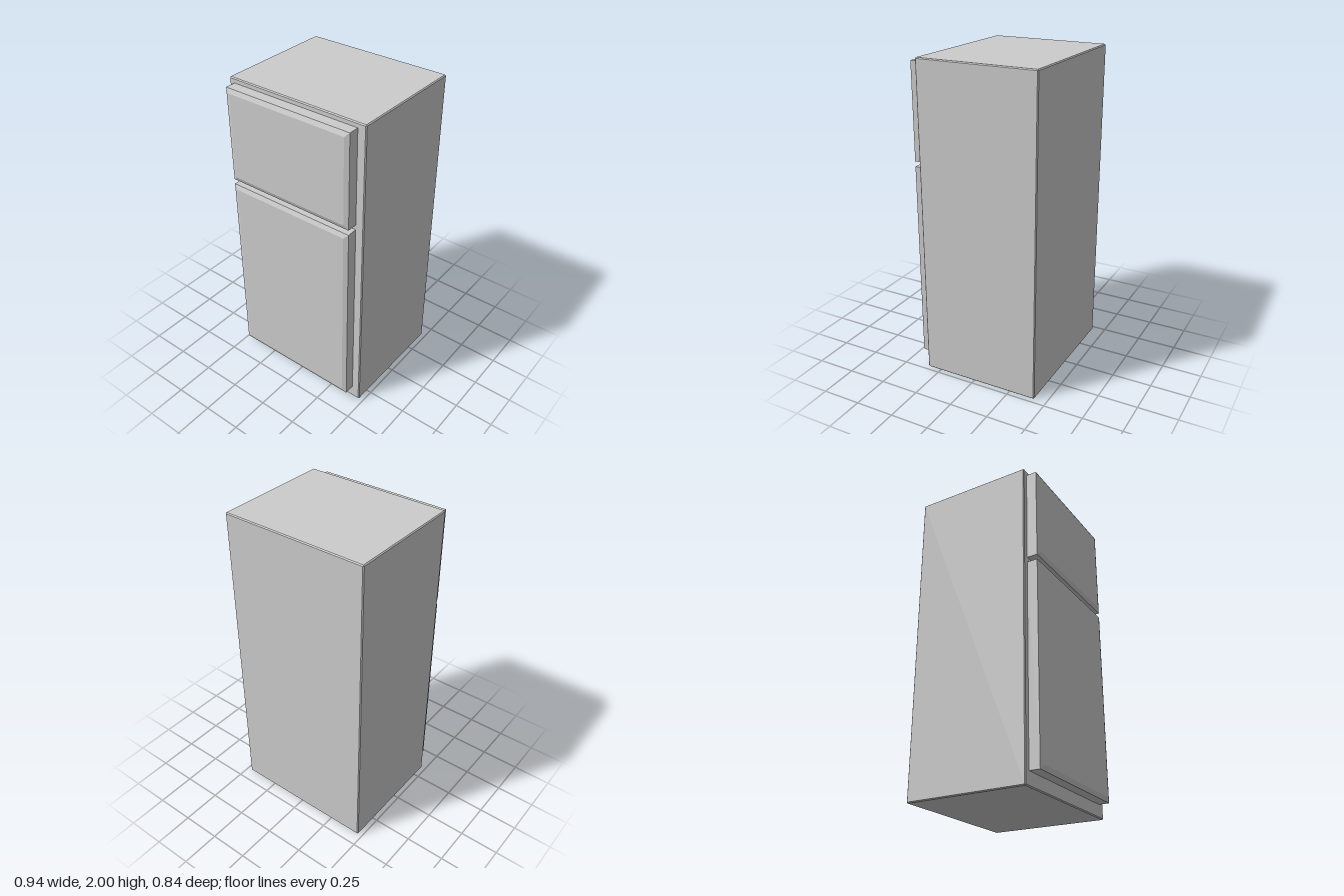
import * as THREE from 'three';
import { ConvexGeometry } from 'three/addons/geometries/ConvexGeometry.js';

const material = new THREE.MeshStandardMaterial({ color: 0xcccccc, flatShading: true });

// The four corners of a rectangle at depth z, centred on the origin
function rectangle(w, h, z) {
  const points = [];
  for (const sx of [-1, 1]) {
    for (const sy of [-1, 1]) points.push(new THREE.Vector3(sx * w / 2, sy * h / 2, z));
  }
  return points;
}

function addPart(group, name, points, x, y, z) {
  const mesh = new THREE.Mesh(new ConvexGeometry(points), material);
  mesh.name = name;
  mesh.position.set(x, y, z);
  group.add(mesh);
}

// Box with every edge chamfered by c
function chamferedBox(w, h, d, c) {
  const points = [];
  for (const s of [-1, 1]) {
    points.push(
      ...rectangle(w - 2 * c, h - 2 * c, s * d / 2),
      ...rectangle(w, h - 2 * c, s * (d / 2 - c)),
      ...rectangle(w - 2 * c, h, s * (d / 2 - c))
    );
  }
  return points;
}

// Slab with a shallow, wide bevel around its front face only
function doorSlab(w, h, depth, bevelDepth, inset) {
  return [
    ...rectangle(w, h, 0),
    ...rectangle(w, h, depth - bevelDepth),
    ...rectangle(w - 2 * inset, h - 2 * inset, depth)
  ];
}

export function createModel() {
  const group = new THREE.Group();
  group.name = 'refrigerator';

  const back = -0.42, cabinetFront = 0.343, doorFront = 0.42;

  // Cabinet
  addPart(group, 'cabinet', chamferedBox(0.942, 2, cabinetFront - back, 0.006),
    0, 1, (cabinetFront + back) / 2);

  // Doors, set slightly toward one side and sunk a little into the cabinet
  const sink = 0.005, left = -0.435, right = 0.418;
  for (const [name, bottom, top] of [['fridgeDoor', 0.083, 1.34], ['freezerDoor', 1.372, 1.97]]) {
    addPart(group, name,
      doorSlab(right - left, top - bottom, doorFront - cabinetFront + sink, 0.011, 0.028),
      (left + right) / 2, (bottom + top) / 2, cabinetFront - sink);
  }

  return group;
}
